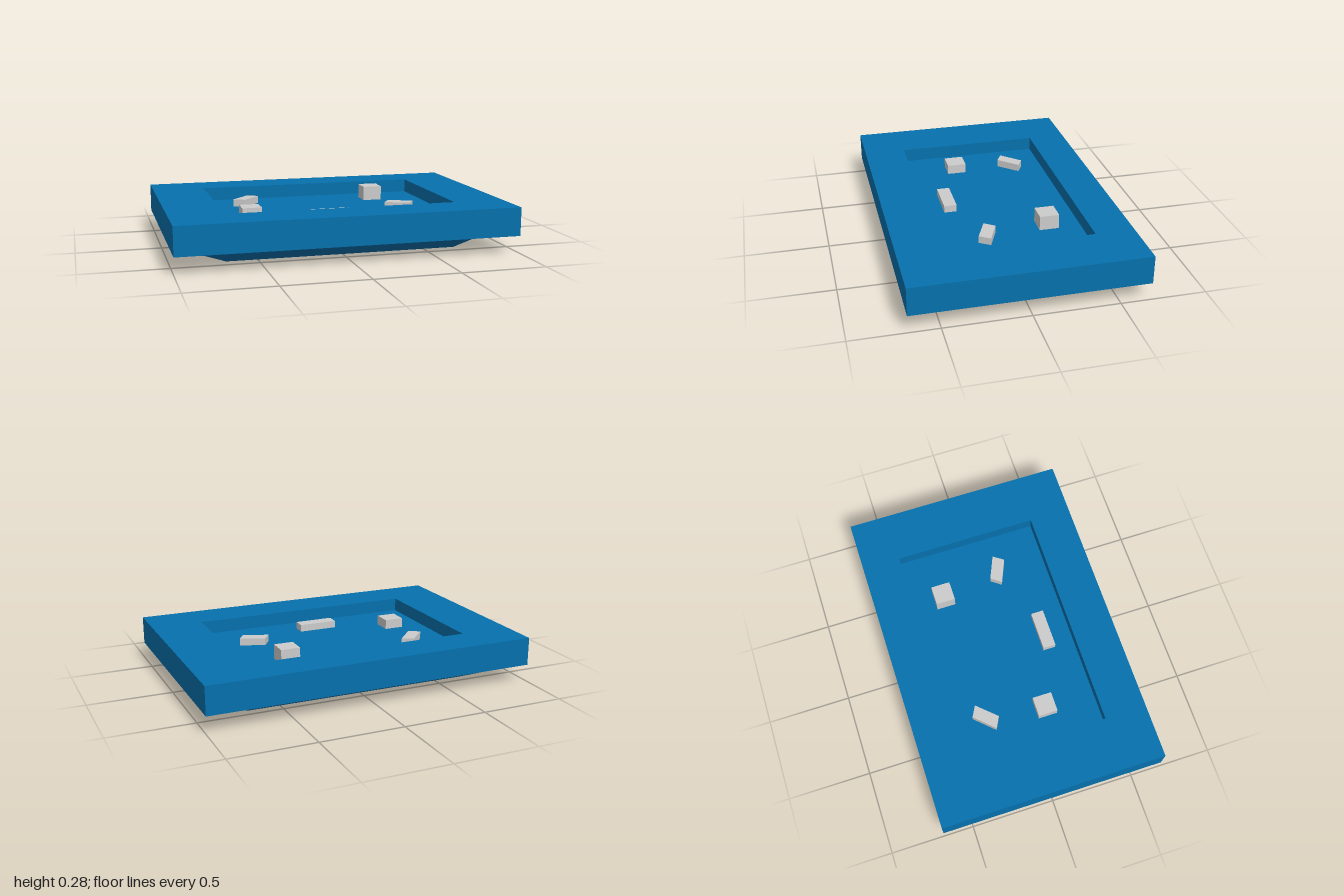
import * as THREE from 'three';

const RIM_BOTTOM = 0.104, RIM_TOP = 0.273, FLOOR = 0.192;
const X = 1, Z = 0.678; // outer half sizes
const L = -0.682, R = 0.69, B = -0.446, F = 0.424; // recess and foot rectangle

const blue = new THREE.MeshStandardMaterial({ color: 0x0670ac });
const grey = new THREE.MeshStandardMaterial({ color: 0xcccccc });

// Rectangle corners, counter-clockwise seen from above
const rect = (x0, x1, z0, z1) => [[x0, z0], [x0, z1], [x1, z1], [x1, z0]];
const points = (list) => list.map(([x, z]) => new THREE.Vector2(x, -z));

// Upright prism over a footprint given in x, z
function prism(name, outline, y0, y1, material, hole) {
  const shape = new THREE.Shape(points(outline));
  if (hole) shape.holes.push(new THREE.Path(points(hole)));
  const geometry = new THREE.ExtrudeGeometry(shape, { depth: y1 - y0, bevelEnabled: false });
  geometry.rotateX(-Math.PI / 2).translate(0, y0, 0);
  const mesh = new THREE.Mesh(geometry, material);
  mesh.name = name;
  return mesh;
}

// Smooth-shaded foot with four slopes joined by triangular corner facets
function taperedUnderside() {
  const positions = [];
  const faces = [0, 9, 6, 0, 6, 3]; // flat foot
  rect(L, R, B, F).forEach(([x, z], i) => {
    const onSide = [Math.sign(x) * X, RIM_BOTTOM, z];
    const onEnd = [x, RIM_BOTTOM, Math.sign(z) * Z];
    const [before, after] = i % 2 ? [onSide, onEnd] : [onEnd, onSide];
    positions.push(x, 0, z, ...before, ...after);
    const a = 3 * i, b = 3 * ((i + 1) % 4);
    faces.push(a, a + 2, a + 1); // corner facet
    faces.push(a, b, b + 1, a, b + 1, a + 2); // slope
  });
  const geometry = new THREE.BufferGeometry();
  geometry.setAttribute('position', new THREE.Float32BufferAttribute(positions, 3));
  geometry.setIndex(faces);
  geometry.computeVertexNormals();
  const mesh = new THREE.Mesh(geometry, blue);
  mesh.name = 'taperedUnderside';
  return mesh;
}

export function createModel() {
  const model = new THREE.Group();
  model.name = 'recessedTray';

  // Rim with a rectangular opening, and the sunken floor filling its lower part
  model.add(prism('rim', rect(-X, X, -Z, Z), RIM_BOTTOM, RIM_TOP, blue, rect(L, R, B, F)));
  model.add(prism('recessFloor', rect(L, R, B, F), RIM_BOTTOM, FLOOR, blue));
  model.add(taperedUnderside());

  // Loose blocks standing on the recess floor
  const blocks = [
    ['leftCube', rect(0.32, 0.437, -0.311, -0.195), 0.279],
    ['rightCube', rect(-0.54, -0.423, 0.06, 0.176), 0.25],
    ['frontBar', rect(-0.14, 0.095, 0.227, 0.303), 0.235],
    ['rightSlantedBlock', [[-0.422, -0.315], [-0.53, -0.2], [-0.463, -0.165], [-0.357, -0.28]], 0.237],
    ['leftSlantedBlock', [[0.4, 0.06], [0.355, 0.122], [0.497, 0.183], [0.54, 0.12]], 0.235],
  ];
  for (const [name, outline, top] of blocks) model.add(prism(name, outline, FLOOR, top, grey));

  return model;
}
